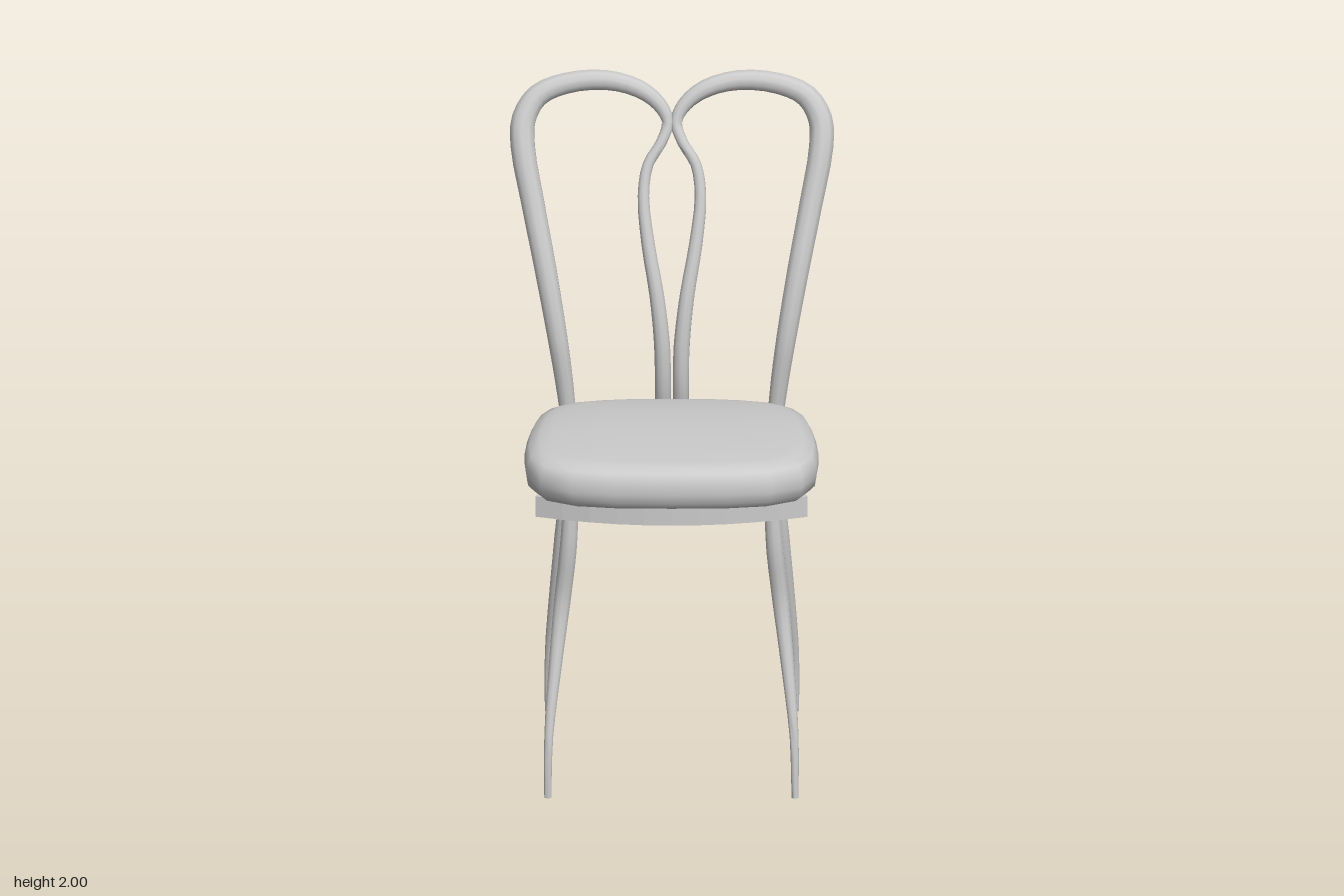
import * as THREE from 'three';
import { toCreasedNormals } from 'three/addons/utils/BufferGeometryUtils.js';

const material = new THREE.MeshStandardMaterial({ color: 0xcccccc });

function addMesh(group, name, geometry) {
  const mesh = new THREE.Mesh(geometry, material);
  mesh.name = name;
  group.add(mesh);
}

// Closed skin over equally long rings of points, with a centre point at each end
function skin(rings, start, end) {
  const n = rings[0].length;
  const points = [...rings.flat(), start, end];
  const index = [];
  const last = (rings.length - 1) * n;
  for (let j = 0; j < n; j++) {
    const k = (j + 1) % n;
    for (let i = 0; i < rings.length - 1; i++) {
      const a = i * n + j, b = i * n + k;
      index.push(a, b, a + n, b, b + n, a + n);
    }
    index.push(points.length - 2, k, j, points.length - 1, last + j, last + k);
  }
  const geometry = new THREE.BufferGeometry().setFromPoints(points);
  geometry.setIndex(index);
  return toCreasedNormals(geometry, 0.9);
}

// Round bar of varying thickness; each stop is [x, y, z, radius]
function taperedBar(stops, side, steps, sides = 10) {
  const path = new THREE.CatmullRomCurve3(stops.map(([x, y, z]) => new THREE.Vector3(x * side, y, z)));
  const frames = path.computeFrenetFrames(steps);
  const rings = [];
  for (let i = 0; i <= steps; i++) {
    const t = (i / steps) * (stops.length - 1);
    const k = Math.min(Math.floor(t), stops.length - 2);
    const radius = THREE.MathUtils.lerp(stops[k][3], stops[k + 1][3], t - k);
    const center = path.getPoint(i / steps);
    // frames follow arc length, so square the ring to the local tangent instead
    const tangent = path.getTangent(i / steps);
    const normal = frames.normals[i].clone().addScaledVector(tangent, -frames.normals[i].dot(tangent)).normalize();
    const binormal = new THREE.Vector3().crossVectors(tangent, normal);
    rings.push(Array.from({ length: sides }, (_, j) => {
      const a = (j / sides) * Math.PI * 2;
      return center.clone()
        .addScaledVector(normal, Math.cos(a) * radius)
        .addScaledVector(binormal, Math.sin(a) * radius);
    }));
  }
  return skin(rings, path.getPoint(0), path.getPoint(1));
}

// Padded seat: the plan outline stacked in rings, top sloping down to the back
function cushionGeometry() {
  const half = [[0.13, -0.336], [0.23, -0.31], [0.32, -0.265], [0.375, -0.2], [0.407, -0.1], [0.423, 0],
    [0.436, 0.12], [0.443, 0.23], [0.437, 0.35], [0.395, 0.45], [0.3, 0.505], [0.18, 0.525]];
  const outline = [[0, -0.338], ...half, [0, 0.53], ...half.map(([x, z]) => [-x, z]).reverse()].reverse();
  const levels = [[0.86, 0.937], [0.95, 0.942], [0.99, 0.962], [1, 0.99], [1, 1.025], [0.97, 1.053],
    [0.9, 1.067], [0.82, 1.071], [0.5, 1.075], [0.2, 1.076]];
  const place = (x, z, y) => {
    const slope = z < 0.2 ? 0.045 * ((0.2 - z) / 0.5) ** 2 : 0;
    return new THREE.Vector3(x, y - slope * THREE.MathUtils.smoothstep(y, 0.95, 1.07), z);
  };
  const rings = levels.map(([s, y]) => outline.map(([x, z]) => place(x * s, 0.1 + (z - 0.1) * s, y)));
  return skin(rings, place(0, 0.1, 0.937), place(0, 0.1, 1.076));
}

// Board with bowed front and slightly hollow sides
function boardGeometry() {
  const shape = new THREE.Shape();
  shape.moveTo(-0.395, -0.325);
  shape.lineTo(0.395, -0.325);
  shape.quadraticCurveTo(0.315, -0.02, 0.41, 0.39);
  shape.quadraticCurveTo(0, 0.56, -0.41, 0.39);
  shape.quadraticCurveTo(-0.315, -0.02, -0.395, -0.325);
  const geometry = new THREE.ExtrudeGeometry(shape, { depth: 0.065, bevelEnabled: false, curveSegments: 10 });
  return geometry.rotateX(Math.PI / 2).translate(0, 0.942, 0);
}

export function createModel() {
  const chair = new THREE.Group();
  chair.name = 'chair';
  addMesh(chair, 'seatCushion', cushionGeometry());
  addMesh(chair, 'seatBoard', boardGeometry());

  const frontLeg = [[0.303, 0.9, 0.33, 0.025], [0.312, 0.75, 0.332, 0.027], [0.33, 0.58, 0.32, 0.026],
    [0.352, 0.38, 0.37, 0.02], [0.37, 0.19, 0.424, 0.014], [0.373, 0, 0.438, 0.011]];
  const backLeg = [[0.303, 0.9, -0.28, 0.026], [0.312, 0.75, -0.281, 0.027], [0.33, 0.58, -0.298, 0.026],
    [0.352, 0.38, -0.335, 0.02], [0.37, 0.19, -0.372, 0.014], [0.373, 0, -0.393, 0.011]];
  // Outer upright, over the top of the loop, down to the meeting point
  // and along the inner bar to its hook under the board
  const backLoop = [[0.308, 0.93, -0.298, 0.024], [0.325, 1.08, -0.29, 0.028], [0.345, 1.22, -0.286, 0.031],
    [0.38, 1.42, -0.318, 0.034], [0.42, 1.62, -0.378, 0.036], [0.45, 1.78, -0.428, 0.038],
    [0.447, 1.86, -0.458, 0.038], [0.405, 1.925, -0.483, 0.036], [0.32, 1.96, -0.495, 0.033],
    [0.2, 1.969, -0.499, 0.031], [0.1, 1.945, -0.488, 0.028], [0.038, 1.9, -0.473, 0.023],
    [0.013, 1.85, -0.456, 0.018], [0.034, 1.79, -0.432, 0.017], [0.072, 1.73, -0.412, 0.017],
    [0.086, 1.64, -0.384, 0.018], [0.072, 1.5, -0.345, 0.021], [0.046, 1.35, -0.308, 0.023],
    [0.03, 1.2, -0.293, 0.025], [0.027, 1.07, -0.297, 0.025], [0.028, 0.97, -0.318, 0.024],
    [0.033, 0.9, -0.326, 0.021], [0.042, 0.876, -0.285, 0.014], [0.055, 0.878, -0.205, 0.01]];

  for (const [prefix, side] of [['left', 1], ['right', -1]]) {
    addMesh(chair, prefix + 'FrontLeg', taperedBar(frontLeg, side, 15));
    addMesh(chair, prefix + 'BackLeg', taperedBar(backLeg, side, 15));
    addMesh(chair, prefix + 'BackLoop', taperedBar(backLoop, side, 69));
  }
  return chair;
}
